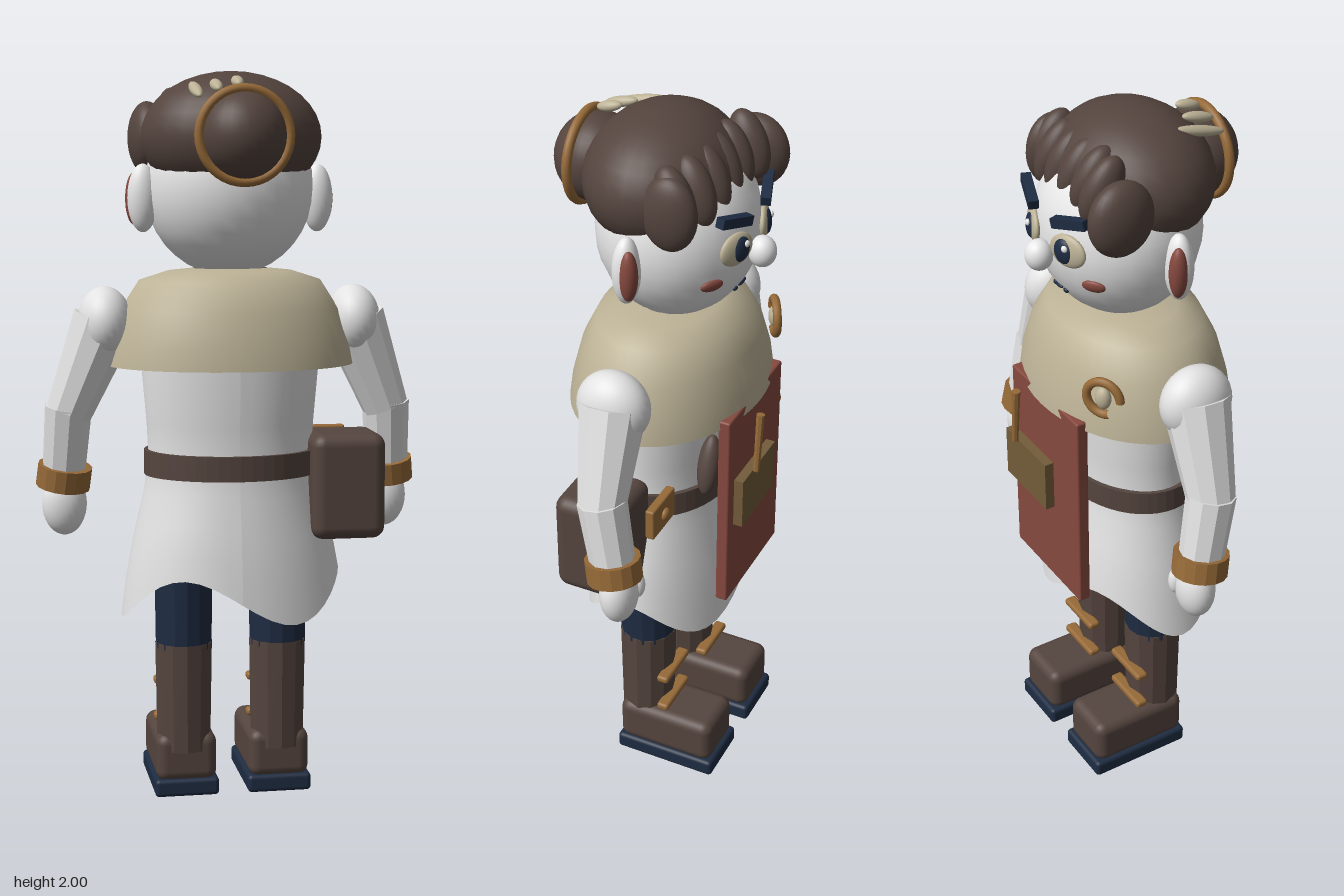
import * as THREE from 'three';
import { RoundedBoxGeometry } from 'three/addons/geometries/RoundedBoxGeometry.js';

export function createModel() {
  const root = new THREE.Group();
  root.name = 'explorer';
  const mat = (name, color, extra = {}) => {
    const m = new THREE.MeshStandardMaterial({ color, ...extra });
    m.name = name;
    return m;
  };
  const skin = mat('pale skin', 0xe9e9e9);
  const cloth = mat('white cloth', 0xe2e2e2, { side: THREE.DoubleSide });
  const hair = mat('dark brown hair', 0x54443e);
  const leather = mat('brown leather', 0x55453f);
  const beige = mat('beige wool', 0xbcb296, { side: THREE.DoubleSide });
  const navy = mat('navy', 0x1e2c42);
  const tan = mat('tan leather', 0x966a38);
  const red = mat('dull red', 0x86493f);
  const paper = mat('dark parchment', 0x735c3a);

  // Helpers
  const add = (name, geo, m, pos = [0, 0, 0], rot = [0, 0, 0]) => {
    const mesh = new THREE.Mesh(geo, m);
    mesh.name = name;
    mesh.position.set(...pos);
    mesh.rotation.set(...rot);
    root.add(mesh);
    return mesh;
  };
  const ball = (name, m, pos, radii, rot) =>
    add(name, new THREE.SphereGeometry(1, 28, 18).scale(...radii), m, pos, rot);
  const block = (name, m, pos, size, rot, r = 0) =>
    add(name, r ? new RoundedBoxGeometry(...size, 3, r) : new THREE.BoxGeometry(...size), m, pos, rot);
  const facet = (geo) => {
    const g = geo.toNonIndexed();
    g.computeVertexNormals();
    return g;
  };
  // Faceted limb between two points
  const limb = (name, m, a, b, ra, rb, sides = 10) => {
    const A = new THREE.Vector3(...a), B = new THREE.Vector3(...b);
    const dir = A.clone().sub(B);
    const mesh = add(name, facet(new THREE.CylinderGeometry(ra, rb, dir.length(), sides)), m);
    mesh.position.copy(A).add(B).multiplyScalar(0.5);
    mesh.quaternion.setFromUnitVectors(new THREE.Vector3(0, 1, 0), dir.normalize());
    return mesh;
  };
  const lathe = (pts) => new THREE.LatheGeometry(pts.map(p => new THREE.Vector2(...p)), 48);

  // Head; the face looks toward -z
  const hc = new THREE.Vector3(0, 1.69, -0.03), hr = new THREE.Vector3(0.232, 0.24, 0.212);
  ball('head', skin, hc.toArray(), hr.toArray());
  // Places a flat feature on the face, turned along the surface
  const onFace = (name, m, x, y, radii, lift = 0, roll = 0) => {
    const u = x / hr.x, v = (y - hc.y) / hr.y;
    const p = new THREE.Vector3(x, y, hc.z - hr.z * Math.sqrt(Math.max(0, 1 - u * u - v * v)));
    const n = p.clone().sub(hc).divide(hr).divide(hr).normalize();
    const mesh = ball(name, m, [0, 0, 0], radii);
    mesh.position.copy(p).addScaledVector(n, lift);
    mesh.lookAt(mesh.position.clone().add(n));
    mesh.rotateZ(roll);
    return mesh;
  };
  ball('nose', skin, [0, 1.66, -0.262], [0.037, 0.042, 0.037]);
  for (const s of [-1, 1]) {
    ball('ear', skin, [s * 0.24, 1.662, 0], [0.042, 0.092, 0.036]);
    ball('innerEar', red, [s * 0.262, 1.66, -0.016], [0.024, 0.07, 0.025]);
    onFace('eye', beige, s * 0.085, 1.7, [0.056, 0.044, 0.016]);
    onFace('iris', navy, s * 0.078, 1.7, [0.03, 0.034, 0.014], 0.008);
    onFace('eyeGlint', skin, s * 0.078 - 0.01, 1.713, [0.009, 0.009, 0.006], 0.02);
    onFace('cheek', red, s * 0.138, 1.612, [0.032, 0.018, 0.01]);
    block('eyebrow', navy, [s * 0.1, 1.785, -0.228], [0.11, 0.026, 0.026], [0, s * -0.33, s * 0.25]);
    onFace('mouthCorner', navy, s * 0.026, 1.55, [0.009, 0.007, 0.006]);
  }
  onFace('mouth', navy, 0, 1.556, [0.018, 0.006, 0.006]);

  // Hair cap, fringe and side locks
  ball('hairCap', hair, [0, 1.825, 0.01], [0.246, 0.175, 0.2]);
  [-0.205, -0.19, -0.188, -0.186, -0.178, -0.155].forEach((z, i) =>
    ball('fringeLock', hair, [-0.138 + 0.066 * i, 1.875 - 0.004 * i, z + 0.045],
      [0.042, 0.092, 0.05], [0.42, 0, 0.12]));
  ball('bigSideLock', hair, [-0.21, 1.825, -0.15], [0.053, 0.1, 0.09]);
  ball('smallSideLock', hair, [0.205, 1.825, -0.1], [0.042, 0.1, 0.075]);

  // Bun with ring and three feathers
  ball('bun', hair, [0, 1.825, 0.2], [0.116, 0.118, 0.113]);
  add('bunRing', new THREE.TorusGeometry(0.12, 0.013, 10, 40), tan, [0, 1.825, 0.228]);
  [[-0.115, 1.945, 0.135, 0.078], [-0.065, 1.955, 0.165, 0.048], [-0.01, 1.965, 0.17, 0.036]]
    .forEach(([x, y, z, l]) => ball('feather', beige, [x, y, z], [0.016, 0.014, l], [0.25, 0, 0]));

  // Coat: elliptical lathe with a three-wave hem
  const coat = lathe([[0.305, 0.575], [0.292, 0.66], [0.27, 0.76], [0.242, 0.86], [0.227, 0.95],
    [0.232, 1.05], [0.245, 1.2], [0.24, 1.34], [0.12, 1.44]]);
  const cp = coat.attributes.position;
  for (let i = 0; i < cp.count; i++) {
    const y = cp.getY(i), k = Math.max(0, (0.9 - y) / 0.325);
    const wave = Math.sin(3 * Math.atan2(cp.getX(i), cp.getZ(i)));
    cp.setY(i, y - 0.065 * k * wave);
  }
  coat.scale(1, 1, 0.71);
  coat.computeVertexNormals();
  add('coat', coat, cloth, [0, 0, -0.008]);

  // Shoulder cape
  const cape = lathe([[1, 1.21], [0.97, 1.27], [0.88, 1.36], [0.73, 1.44], [0.5, 1.465], [0.3, 1.472]]);
  add('cape', cape.scale(0.342, 1, 0.256), beige, [0, 0, -0.013]);

  // Belt
  const belt = lathe([[0.225, 0.908], [0.24, 0.908], [0.24, 0.976], [0.225, 0.976]]);
  const beltFlat = facet(belt.scale(1, 1, 0.77));
  add('belt', beltFlat, leather, [0, 0, -0.003]);
  ball('beltKnot', leather, [0.16, 1.08, -0.195], [0.028, 0.085, 0.03], [0, 0, 0.3]);

  // Arms and legs
  for (const s of [-1, 1]) {
    ball('shoulder', cloth, [s * 0.345, 1.325, -0.012], [0.075, 0.1, 0.1]);
    limb('upperArm', cloth, [s * 0.345, 1.33, -0.012], [s * 0.445, 1.08, -0.025], 0.09, 0.064);
    limb('forearm', cloth, [s * 0.445, 1.1, -0.025], [s * 0.458, 0.9, -0.062], 0.066, 0.06);
    limb('cuff', tan, [s * 0.453, 0.93, -0.056], [s * 0.46, 0.87, -0.066], 0.075, 0.075, 16);
    ball('hand', skin, [s * 0.455, 0.82, -0.075], [0.062, 0.088, 0.05]);
    ball('thumb', skin, [s * 0.415, 0.83, -0.11], [0.02, 0.04, 0.02]);

    limb('trouserLeg', navy, [s * 0.133, 0.8, 0.002], [s * 0.133, 0.42, 0], 0.083, 0.078, 14);
    limb('bootShaft', leather, [s * 0.133, 0.435, 0], [s * 0.133, 0.13, 0], 0.08, 0.075, 12);
    block('bootFoot', leather, [s * 0.131, 0.11, -0.087], [0.17, 0.136, 0.292], undefined, 0.03);
    block('bootSole', navy, [s * 0.131, 0.026, -0.09], [0.18, 0.05, 0.304], undefined, 0.012);
    for (const y of [0.2, 0.305])
      block('bootStrap', tan, [s * 0.133, y, -0.078], [0.15, 0.022, 0.036], undefined, 0.009);
  }

  // Side bag with a riveted tab
  block('bag', leather, [0.308, 0.878, 0.047], [0.206, 0.292, 0.196], undefined, 0.035);
  block('bagTab', tan, [0.28, 0.975, -0.11], [0.13, 0.09, 0.026], undefined, 0.006);
  ball('bagRivet', tan, [0.28, 0.975, -0.126], [0.018, 0.018, 0.012]);

  // Book board on the chest with a note and a pen
  block('board', red, [0.003, 0.94, -0.243], [0.342, 0.592, 0.034], undefined, 0.006);
  block('note', paper, [0.052, 0.977, -0.281], [0.212, 0.146, 0.026]);
  limb('pen', tan, [0.075, 1.22, -0.303], [0.092, 1.05, -0.303], 0.012, 0.009, 8);

  // Curled brooch
  const brooch = new THREE.Group();
  brooch.name = 'brooch';
  const curl = new THREE.Mesh(new THREE.TorusGeometry(0.048, 0.012, 10, 30, 5.1), tan);
  curl.name = 'broochCurl';
  const stone = new THREE.Mesh(new THREE.SphereGeometry(1, 16, 12).scale(0.022, 0.032, 0.018), beige);
  stone.name = 'broochStone';
  brooch.add(curl, stone);
  brooch.position.set(-0.222, 1.335, -0.212);
  brooch.rotation.y = Math.PI + 0.55;
  root.add(brooch);

  return root;
}
